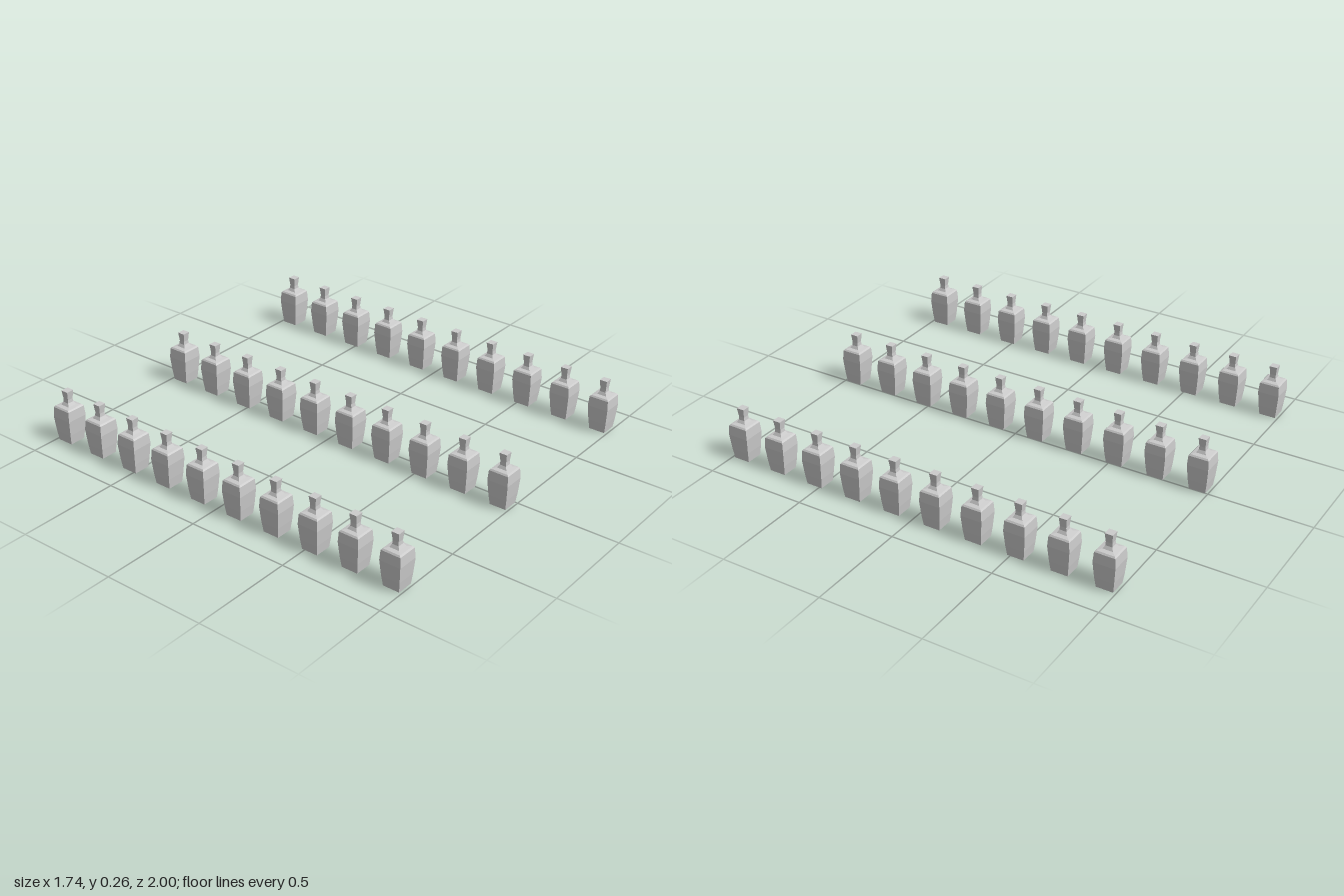
import * as THREE from 'three';

// Square-section bottle outline: [half width, height], from base to lip
const PROFILE = [
  [0, 0], [0.04, 0], [0.046, 0.05], [0.052, 0.125], [0.0485, 0.173],
  [0.043, 0.18], [0.024, 0.184], [0.016, 0.198], [0.0145, 0.215],
  [0.019, 0.257], [0, 0.257],
];
const ROWS = [-0.817, -0.04, 0.817];
const PER_ROW = 10;
const SPACING = 0.2105;

export function createModel() {
  const model = new THREE.Group();
  model.name = 'bottleRows';

  const material = new THREE.MeshStandardMaterial({ color: 0xcccccc, flatShading: true });

  // Four-sided lathe, turned so its flat sides face the axes
  const points = PROFILE.map(([half, y]) => new THREE.Vector2(half * Math.SQRT2, y));
  const bottleGeometry = new THREE.LatheGeometry(points, 4, Math.PI / 4);

  // Three rows of bottles running front to back
  ROWS.forEach((x, r) => {
    const row = new THREE.Group();
    row.name = `bottleRow${r + 1}`;
    row.position.x = x;
    for (let i = 0; i < PER_ROW; i++) {
      const bottle = new THREE.Mesh(bottleGeometry, material);
      bottle.name = `bottle${i + 1}`;
      bottle.position.z = (i - (PER_ROW - 1) / 2) * SPACING;
      row.add(bottle);
    }
    model.add(row);
  });

  return model;
}
